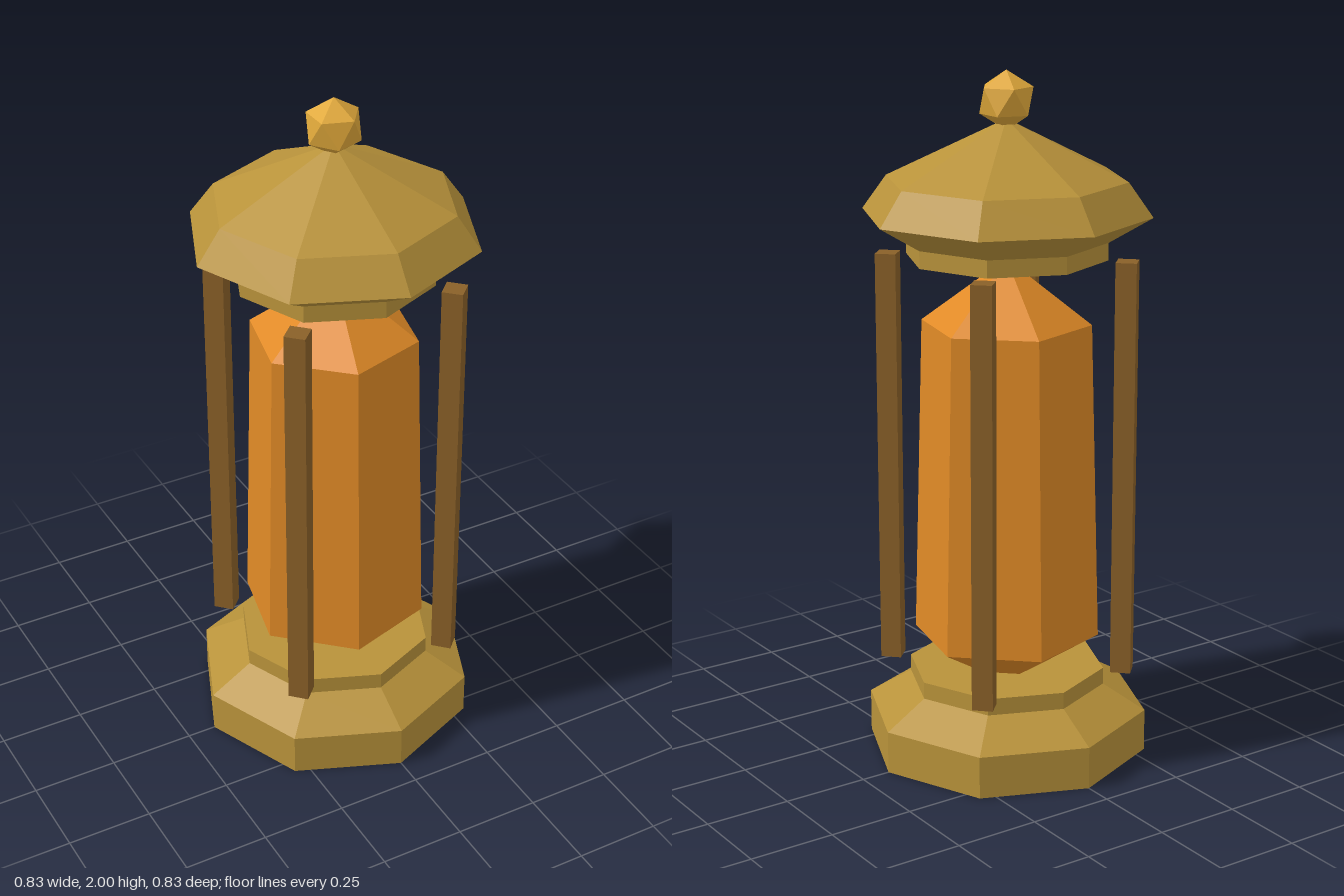
import * as THREE from 'three';

const material = (name, color) => {
  const m = new THREE.MeshStandardMaterial({ color });
  m.name = name;
  return m;
};

// Split shared corners so every facet is shaded flat
const faceted = (geometry) => {
  const g = geometry.index ? geometry.toNonIndexed() : geometry;
  g.deleteAttribute('normal');
  g.computeVertexNormals();
  return g;
};

// Faceted turned solid; profile is [radius, y] from bottom to top
const turned = (profile, sides, start = 0) =>
  faceted(new THREE.LatheGeometry(profile.map(([r, y]) => new THREE.Vector2(r, y)), sides, start));

export function createModel() {
  const brass = material('brass', 0xb8923a);
  const gold = material('gold', 0xe0a83a);
  const amber = material('amber', 0xe08a26);
  const bronze = material('bronze', 0x8a6028);

  const lantern = new THREE.Group();
  lantern.name = 'lantern';
  const add = (name, geometry, mat) => {
    const mesh = new THREE.Mesh(geometry, mat);
    mesh.name = name;
    lantern.add(mesh);
    return mesh;
  };

  // Stepped octagonal base
  add('base', turned([[0, 0], [0.415, 0], [0.415, 0.125], [0.29, 0.2], [0.29, 0.25], [0, 0.25]], 8), brass);

  // Octagonal roof with its collar and flared eaves
  add('roof', turned([[0, 1.475], [0.29, 1.475], [0.29, 1.525], [0.415, 1.6], [0.345, 1.697], [0, 1.865]], 8), brass);

  // Six-sided crystal, slightly wider at the foot, its tip set into the base
  const twist = THREE.MathUtils.degToRad(-13);
  add('crystal', turned([[0, 0.185], [0.272, 0.35], [0.245, 1.285], [0, 1.47]], 6, twist), amber);

  // Four square posts on the diagonals
  const postGeometry = new THREE.BoxGeometry(0.06, 1.225, 0.06);
  for (let i = 0; i < 4; i++) {
    const angle = Math.PI / 4 + (i * Math.PI) / 2;
    const post = add('post', postGeometry, bronze);
    post.position.set(0.344 * Math.sin(angle), 0.8625, 0.344 * Math.cos(angle));
    post.rotation.y = angle;
  }

  // Finial standing on one corner
  const finial = add('finial', faceted(new THREE.IcosahedronGeometry(0.084, 0)), gold);
  finial.rotation.z = -Math.atan(2 / (1 + Math.sqrt(5)));
  finial.position.y = 1.916;

  return lantern;
}
